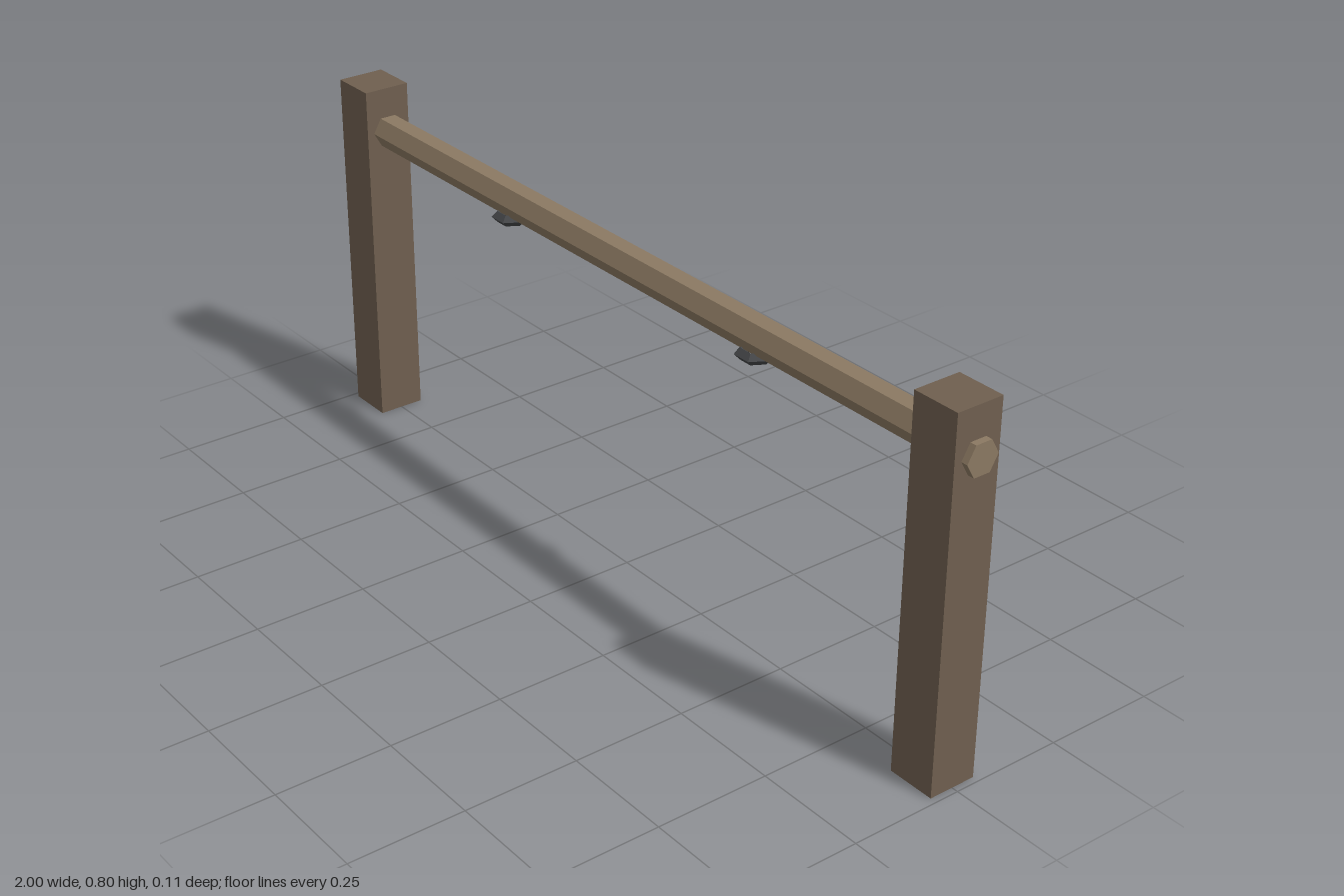
import * as THREE from 'three';

const material = (color) =>
  new THREE.MeshStandardMaterial({ color, flatShading: true, side: THREE.DoubleSide });

// Square post with an open underside
function postGeometry(width, height) {
  const g = new THREE.BoxGeometry(width, height, width);
  const index = Array.from(g.index.array);
  index.splice(18, 6); // drop the bottom face
  g.setIndex(index);
  g.clearGroups();
  return g.translate(0, height / 2, 0);
}

export function createModel() {
  const group = new THREE.Group();
  const postWood = material(0x6f5f4f);
  const beamWood = material(0x8b7962);
  const iron = material(0x444648);

  const add = (name, geometry, mat, x, y) => {
    const mesh = new THREE.Mesh(geometry, mat);
    mesh.name = name;
    mesh.position.set(x, y, 0);
    group.add(mesh);
  };

  // Hexagonal crossbar running through both posts
  const beam = new THREE.CylinderGeometry(0.0373, 0.0373, 2, 6).rotateZ(Math.PI / 2);
  add('crossbar', beam, beamWood, 0, 0.7);

  // Posts and the flat hanging rings under the bar
  const post = postGeometry(0.107, 0.8);
  const ring = new THREE.TorusGeometry(0.03, 0.0125, 4, 6).rotateX(Math.PI / 2);
  for (const [side, s] of [['left', 1], ['right', -1]]) {
    add(side + 'Post', post, postWood, s * 0.932, 0);
    add(side + 'Ring', ring, iron, s * 0.4, 0.66);
  }
  return group;
}
